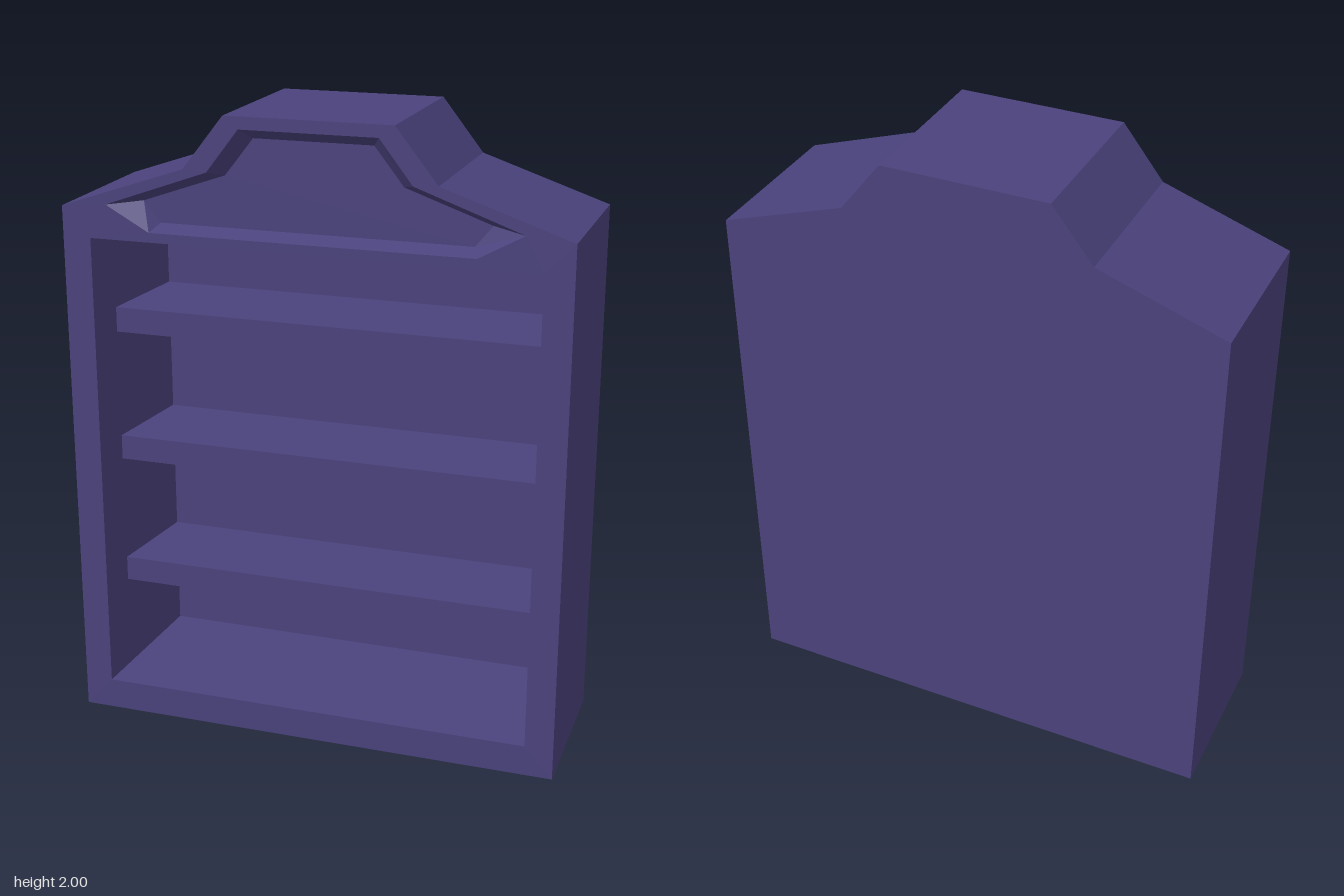
import * as THREE from 'three';

const FRONT = 0.265, BACK = -0.265;
const paint = new THREE.MeshStandardMaterial({ color: 0x4a427c });
paint.name = 'indigo paint';

// Counter-clockwise loop from its right half (listed bottom to top)
const mirrored = (half) => [
  ...half,
  ...half.slice().reverse().map(([x, y]) => [-x, y]),
].map(([x, y]) => new THREE.Vector2(x, y));

// Flat-faced walls joining a front loop to a back loop
function walls(a, za, b, zb) {
  const pos = [];
  a.forEach((p, i) => {
    const j = (i + 1) % a.length;
    const A = [p.x, p.y, za], B = [b[i].x, b[i].y, zb];
    const C = [b[j].x, b[j].y, zb], D = [a[j].x, a[j].y, za];
    pos.push(...A, ...B, ...C, ...A, ...C, ...D);
  });
  const g = new THREE.BufferGeometry();
  g.setAttribute('position', new THREE.Float32BufferAttribute(pos, 3));
  g.computeVertexNormals();
  return g;
}

function face(loop, z, holes = []) {
  const shape = new THREE.Shape(loop);
  shape.holes = holes.map((h) => new THREE.Path(h.slice().reverse()));
  return new THREE.ShapeGeometry(shape).translate(0, 0, z);
}

export function createModel() {
  const model = new THREE.Group();
  model.name = 'bookcase';
  const add = (name, geometry, parent = model) => {
    const mesh = new THREE.Mesh(geometry, paint);
    mesh.name = name;
    parent.add(mesh);
    return mesh;
  };

  const outline = mirrored([[0.79, 0], [0.79, 1.7], [0.39, 1.835], [0.26, 2]]);
  const recesses = [
    {
      name: 'shelfCompartment', depth: 0.42,
      rim: mirrored([[0.7, 0.1], [0.7, 1.605]]),
      floor: mirrored([[0.63, 0.15], [0.63, 1.553]]),
    },
    {
      name: 'pedimentPanel', depth: 0.05,
      rim: mirrored([[0.506, 1.635], [0.645, 1.712], [0.315, 1.83], [0.213, 1.962]]),
      floor: mirrored([[0.487, 1.657], [0.54, 1.722], [0.275, 1.815], [0.185, 1.93]]),
    },
  ];

  // Cabinet shell
  add('frontFrame', face(outline, FRONT, recesses.map((r) => r.rim)));
  add('outerWalls', walls(outline, FRONT, outline, BACK));
  add('backPanel', face(outline, -BACK).rotateY(Math.PI));

  // Bevelled recesses with their back faces
  for (const { name, depth, rim, floor } of recesses) {
    const group = new THREE.Group();
    group.name = name;
    model.add(group);
    const z = FRONT - depth;
    add(name + 'Walls', walls(rim.slice().reverse(), FRONT, floor.slice().reverse(), z), group);
    add(name + 'Back', face(floor, z), group);
  }

  // Shelves, narrowing towards the back with the compartment
  const edge = mirrored([[0.682, -0.04], [0.682, 0.04]]);
  const rear = mirrored([[0.63, -0.05], [0.63, 0.05]]);
  for (const y of [0.459, 0.888, 1.317]) {
    const shelf = new THREE.Group();
    shelf.name = 'shelf';
    shelf.position.y = y;
    model.add(shelf);
    add('shelfBoard', walls(edge, 0.148, rear, -0.155), shelf);
    add('shelfEdge', face(edge, 0.148), shelf);
  }

  return model;
}
